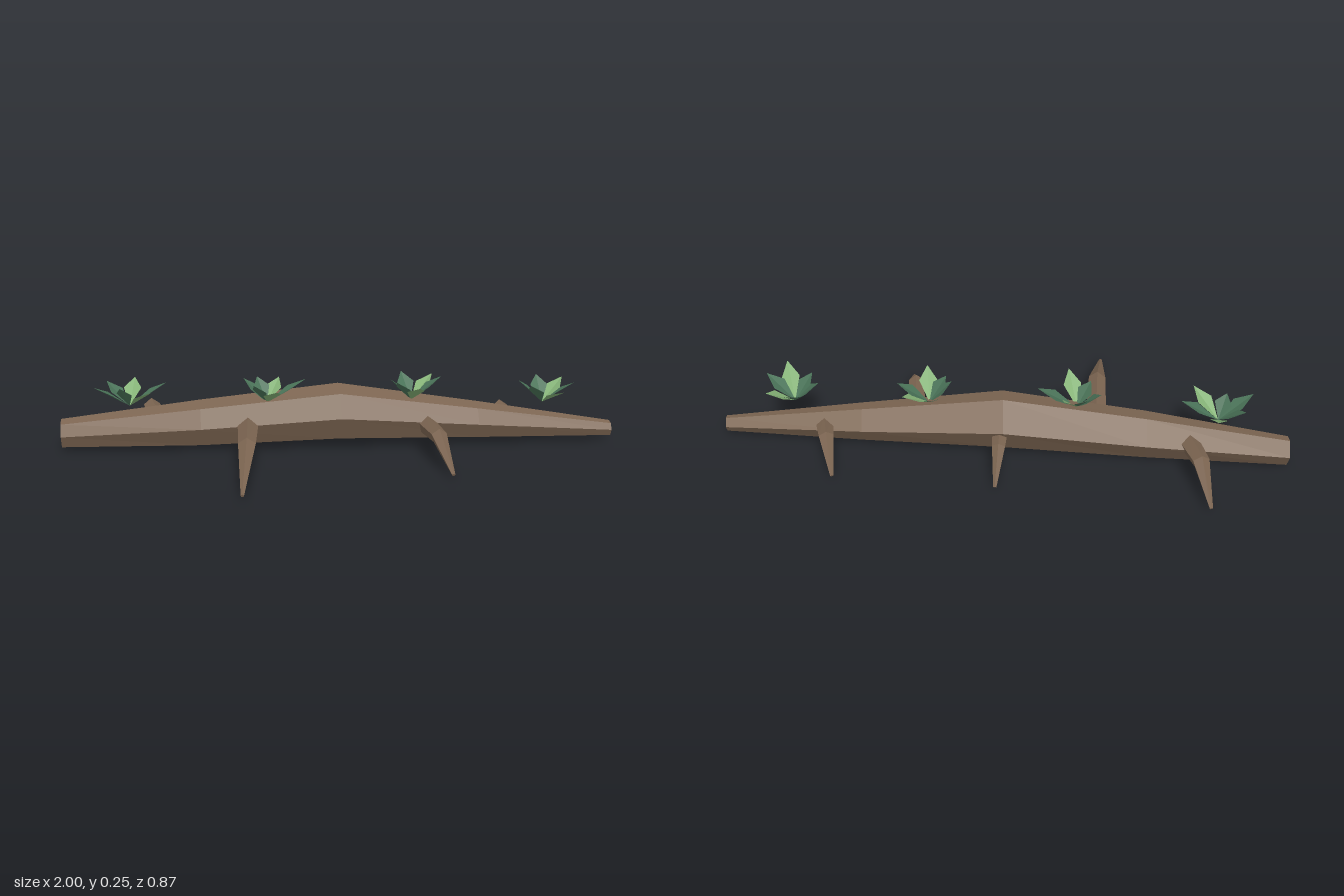
import * as THREE from 'three';

const mat = (color, side = THREE.FrontSide) =>
  new THREE.MeshStandardMaterial({ color, flatShading: true, side });

function facets(points) {
  const g = new THREE.BufferGeometry().setFromPoints(points);
  g.computeVertexNormals();
  return g;
}

// Skins a list of rings (counter-clockwise about the path) and caps both ends
function loft(rings) {
  const tris = [];
  const n = rings[0].length;
  for (let i = 0; i < rings.length - 1; i++) {
    const a = rings[i], b = rings[i + 1];
    for (let j = 0; j < n; j++) {
      const k = (j + 1) % n;
      tris.push(a[j], a[k], b[k], a[j], b[k], b[j]);
    }
  }
  const first = rings[0], last = rings[rings.length - 1];
  for (let j = 1; j < n - 1; j++) {
    tris.push(first[0], first[j + 1], first[j], last[0], last[j], last[j + 1]);
  }
  return facets(tris);
}

// Tapered five-sided limb through a list of points
function limb(path, radii) {
  const pts = path.map(p => new THREE.Vector3(...p));
  return loft(pts.map((p, i) => {
    const d = pts[Math.min(i + 1, pts.length - 1)].clone().sub(pts[Math.max(i - 1, 0)]).normalize();
    const u = d.clone().cross(new THREE.Vector3(0, 1, 0)).normalize();
    const v = d.clone().cross(u);
    return Array.from({ length: 5 }, (_, j) => {
      const a = (j / 5) * Math.PI * 2 + Math.PI * 0.3;
      return p.clone().addScaledVector(u, Math.cos(a) * radii[i]).addScaledVector(v, Math.sin(a) * radii[i]);
    });
  }));
}

// Diamond leaf folded along its midrib, growing from the origin to its tip
function leafGeometry(dx, dz, height) {
  const base = new THREE.Vector3();
  const tip = new THREE.Vector3(dx, height, dz);
  const side = new THREE.Vector3(-dz, 0, dx).normalize().multiplyScalar(0.032);
  const mid = tip.clone().multiplyScalar(0.55);
  mid.y += 0.008;
  const l = mid.clone().add(side), r = mid.clone().sub(side);
  return facets([base, l, tip, base, tip, r]);
}

export function createModel() {
  const model = new THREE.Group();
  const bark = mat(0x7d6652);
  const darkLeaf = mat(0x4a7358, THREE.DoubleSide);
  const lightLeaf = mat(0x85b377, THREE.DoubleSide);

  const add = (name, geometry, material, parent = model) => {
    const mesh = new THREE.Mesh(geometry, material);
    mesh.name = name;
    parent.add(mesh);
  };

  // Trunk: one uneven hexagon [across, up] stretched to fit each station
  const section = [[0.37, 1], [0.77, 0.91], [1, 0.52], [0.8, 0.1], [0.33, 0], [0, 0.55]];
  const stations = [ // x, back z, front z, bottom y, top y
    [-1, -0.215, -0.118, 0, 0.105],
    [-0.5, -0.202, -0.03, 0.004, 0.17],
    [0, -0.175, 0.026, 0.02, 0.225],
    [0.5, -0.108, 0.033, 0.016, 0.15],
    [1, -0.025, 0.032, 0.014, 0.07],
  ];
  add('trunk', loft(stations.map(([x, z0, z1, y0, y1]) =>
    section.map(([u, v]) => new THREE.Vector3(x, y0 + (y1 - y0) * v, z0 + (z1 - z0) * u)))), bark);

  // Bent branches: root inside the trunk, elbow, pointed tip
  const branches = [
    ['frontBranch', [[-0.33, 0.09, -0.06], [-0.35, 0.1, 0.19], [-0.382, 0.015, 0.432]], 0.04],
    ['frontBranch', [[0.31, 0.085, -0.02], [0.32, 0.1, 0.175], [0.34, 0.013, 0.334]], 0.036],
    ['backBranch', [[-0.645, 0.085, -0.14], [-0.675, 0.105, -0.29], [-0.7, 0.02, -0.434]], 0.038],
    ['backBranch', [[0.01, 0.1, -0.12], [0.015, 0.1, -0.205], [0.028, 0.012, -0.316]], 0.03],
    ['backBranch', [[0.638, 0.075, -0.04], [0.62, 0.095, -0.14], [0.595, 0.012, -0.256]], 0.034],
  ];
  for (const [name, path, r] of branches) add(name, limb(path, [r, r * 0.8, 0.006]), bark);

  // Leaf tufts: root position, then the [x, z] reach of every leaf; every third leaf is light
  const tufts = [
    [[-0.75, 0.16, -0.13], [[0.08, 0.1], [-0.03, 0.05], [0.135, 0], [0.02, -0.113], [-0.08, -0.06], [-0.12, 0.04]]],
    [[-0.26, 0.17, -0.07], [[0.025, 0.13], [-0.05, 0.05], [0.14, 0], [0.05, -0.07], [-0.03, -0.07], [-0.08, -0.04]]],
    [[0.26, 0.17, -0.04], [[0.01, 0.12], [-0.06, 0.05], [0.11, 0], [0.09, -0.07], [-0.02, -0.1], [-0.08, 0.01]]],
    [[0.74, 0.152, -0.005], [[0.04, 0.138], [-0.06, 0.06], [0.1, 0.05], [0.09, -0.06], [0, -0.09], [-0.09, -0.01]]],
  ];
  for (const [pos, leaves] of tufts) {
    const tuft = new THREE.Group();
    tuft.name = 'leafTuft';
    tuft.position.set(...pos);
    leaves.forEach(([dx, dz], i) =>
      add('leaf', leafGeometry(dx, dz, 0.075 + (i % 3) * 0.004), i % 3 ? darkLeaf : lightLeaf, tuft));
    model.add(tuft);
  }
  return model;
}
